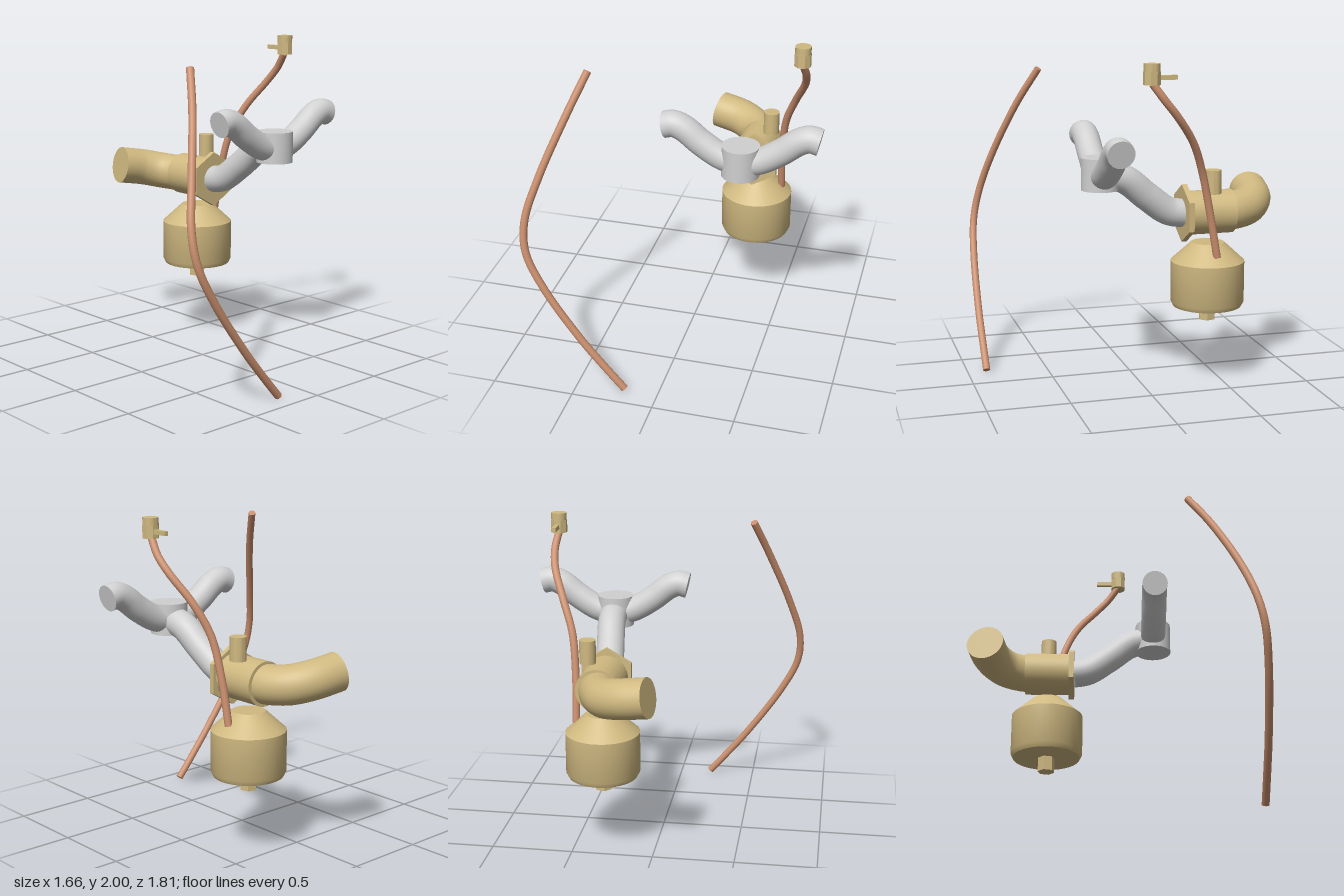
import * as THREE from 'three';
import { toCreasedNormals } from 'three/addons/utils/BufferGeometryUtils.js';

export function createModel() {
  const group = new THREE.Group();
  const material = (name, color) => {
    const m = new THREE.MeshStandardMaterial({ color });
    m.name = name;
    return m;
  };
  const brass = material('brass', 0xd0b981);
  const steel = material('steel', 0xd0d0d0);
  const copper = material('copper', 0xca8f6e);

  const add = (name, geometry, mat, x = 0, y = 0, z = 0) => {
    const mesh = new THREE.Mesh(geometry, mat);
    mesh.name = name;
    mesh.position.set(x, y, z);
    group.add(mesh);
    return mesh;
  };

  // Upright cylinder or prism between two heights
  const post = (name, mat, x, z, y0, y1, r, sides = 40, turn = 0) => {
    const g = toCreasedNormals(new THREE.CylinderGeometry(r, r, y1 - y0, sides).rotateY(turn), 0.5);
    return add(name, g, mat, x, (y0 + y1) / 2, z);
  };

  // Cylinder or prism lying along z
  const barrel = (name, mat, x, y, z0, z1, r, sides = 40) => {
    const g = new THREE.CylinderGeometry(r, r, z1 - z0, sides).rotateX(Math.PI / 2);
    return add(name, toCreasedNormals(g, 0.5), mat, x, y, (z0 + z1) / 2);
  };

  // Round pipe through points, closed with a disc at each end
  const pipe = (name, mat, points, r, sides = 24, steps = 48) => {
    const curve = new THREE.CatmullRomCurve3(points.map((p) => new THREE.Vector3(...p)));
    add(name, new THREE.TubeGeometry(curve, steps, r, sides), mat);
    for (const t of [0, 1]) {
      const p = curve.getPointAt(t);
      const outward = curve.getTangentAt(t).multiplyScalar(t ? 1 : -1);
      const cap = add(name + 'End', new THREE.CircleGeometry(r, sides), mat, p.x, p.y, p.z);
      cap.quaternion.setFromUnitVectors(new THREE.Vector3(0, 0, 1), outward);
    }
  };

  // Float bowl and its drain nut
  const bowlProfile = [
    [0, 0.49], [0.21, 0.49], [0.225, 0.52], [0.225, 0.77], [0.1, 0.885], [0, 0.885],
  ].map(([r, y]) => new THREE.Vector2(r, y));
  add('floatBowl', toCreasedNormals(new THREE.LatheGeometry(bowlProfile, 48), 0.5), brass, 0.313, 0, -0.405);
  post('drainNut', brass, 0.313, -0.405, 0.4, 0.495, 0.053, 6, Math.PI / 12);

  // Main body, hexagonal flange and adjuster
  barrel('body', brass, 0.313, 1.07, -0.55, -0.26, 0.133);
  barrel('flange', brass, 0.313, 1.07, -0.27, -0.237, 0.176, 6);
  post('adjuster', brass, 0.396, -0.407, 1.197, 1.34, 0.049);

  // Curved intake horn
  pipe('intakeHorn', brass, [
    [0.313, 1.07, -0.5], [0.295, 1.07, -0.58], [0.24, 1.08, -0.68],
    [0.134, 1.105, -0.755], [-0.025, 1.132, -0.791],
  ], 0.118, 36);

  // Manifold: stem, hub and two mirrored arms
  pipe('manifoldStem', steel, [
    [0.313, 1.07, -0.245], [0.316, 1.09, -0.15], [0.333, 1.19, -0.01],
    [0.35, 1.3, 0.13], [0.352, 1.335, 0.27],
  ], 0.086, 32);
  post('manifoldHub', steel, 0.35, 0.278, 1.245, 1.437, 0.113);
  for (const [name, side] of [['leftArm', 1], ['rightArm', -1]]) {
    const path = [[0, 1.325], [0.11, 1.348], [0.24, 1.425], [0.34, 1.502], [0.405, 1.527], [0.462, 1.515]];
    pipe(name, steel, path.map(([x, y]) => [0.351 + side * x, y, 0.275]), 0.08, 32);
  }

  // Fuel line from the bowl to the tap
  pipe('fuelLine', copper, [
    [0.473, 0.82, -0.41], [0.48, 1.08, -0.362], [0.508, 1.34, -0.3], [0.578, 1.53, -0.22],
    [0.65, 1.695, -0.1], [0.667, 1.79, -0.02], [0.655, 1.885, 0.05],
  ], 0.023, 16, 64);

  // Tap with cap and lever
  post('tapBody', brass, 0.655, 0.055, 1.88, 1.955, 0.05, 8, Math.PI / 8);
  post('tapCap', brass, 0.655, 0.055, 1.955, 2, 0.047, 32);
  add('tapLever', new THREE.BoxGeometry(0.026, 0.026, 0.12), brass, 0.657, 1.92, -0.031);

  // Loose bent pipe
  pipe('loosePipe', copper, [
    [-0.505, 1.89, 0.463], [-0.6, 1.66, 0.59], [-0.733, 1.315, 0.735], [-0.805, 1.06, 0.815],
    [-0.795, 0.875, 0.855], [-0.69, 0.655, 0.875], [-0.47, 0.336, 0.885], [-0.336, 0.17, 0.885],
    [-0.205, 0.017, 0.884],
  ], 0.023, 16, 80);

  return group;
}
